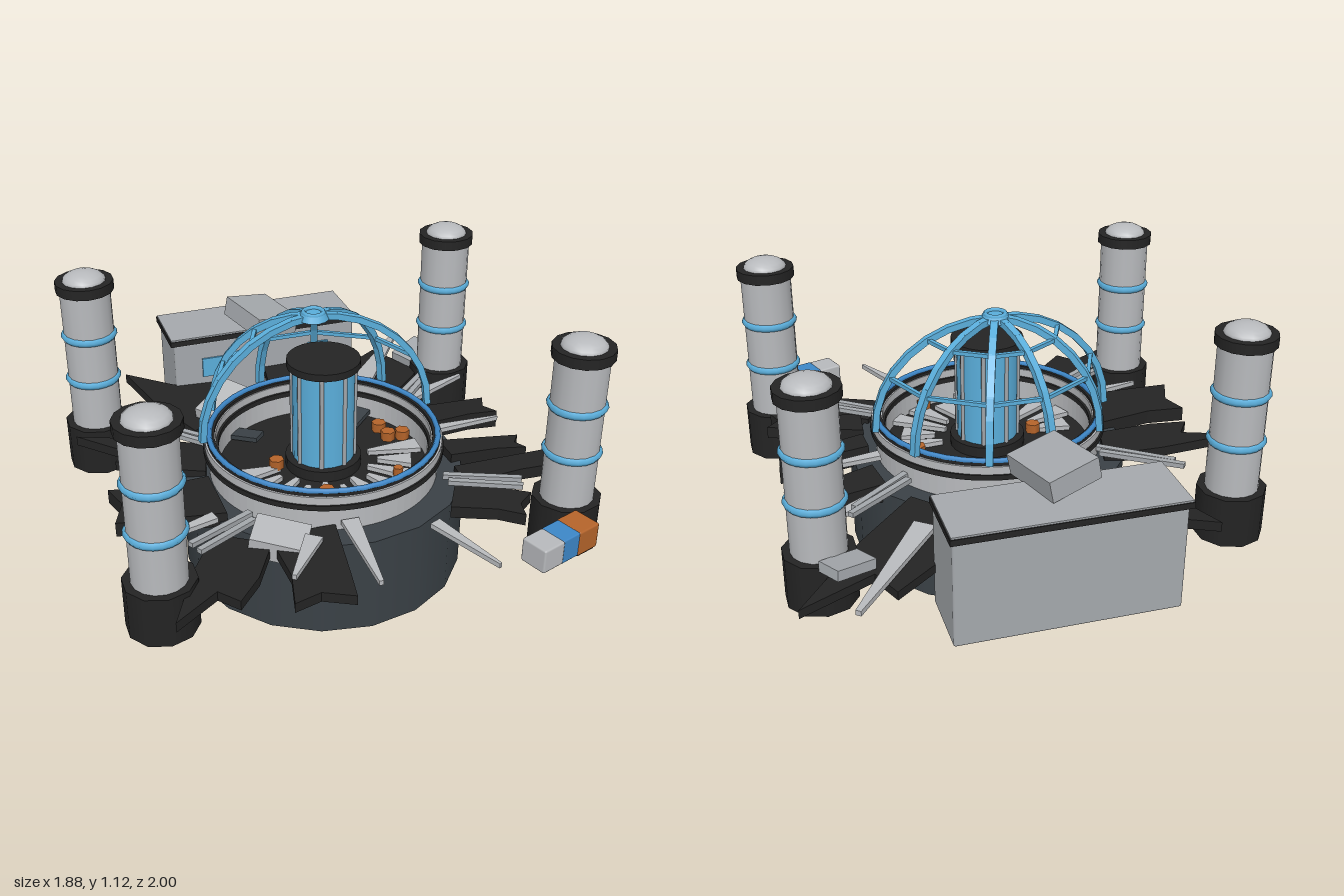
import * as THREE from 'three';
import { RoundedBoxGeometry } from 'three/addons/geometries/RoundedBoxGeometry.js';

const mat = (name, color) => Object.assign(new THREE.MeshStandardMaterial({ color }), { name });

export function createModel() {
  const slate = mat('slate', 0x3a4146), dark = mat('charcoal', 0x242424), grey = mat('concrete', 0xa5a9ad);
  const light = mat('lightGrey', 0xb8babd), blue = mat('skyBlue', 0x5aaedb), deep = mat('deepBlue', 0x3d87c8);
  const orange = mat('rust', 0xb5642a);
  const root = new THREE.Group();
  root.name = 'ruinedReactor';
  const CZ = 0.08; // z of the round building's axis

  const add = (name, geo, m, x = 0, y = 0, z = 0, parent = root) => {
    const mesh = new THREE.Mesh(geo, m);
    mesh.name = name;
    mesh.position.set(x, y, z);
    parent.add(mesh);
    return mesh;
  };
  const cyl = (r, y0, y1, n = 24, top = r) => new THREE.CylinderGeometry(top, r, y1 - y0, n).translate(0, (y0 + y1) / 2, 0);
  const hoop = (r, tube, y, n = 40) => new THREE.TorusGeometry(r, tube, 6, n).rotateX(Math.PI / 2).translate(0, y, 0);
  // Rectangular ring
  const band = (ri, ro, y0, y1) => {
    const s = new THREE.Shape().absarc(0, 0, ro, 0, Math.PI * 2);
    s.holes.push(new THREE.Path().absarc(0, 0, ri, 0, Math.PI * 2, true));
    return new THREE.ExtrudeGeometry(s, { depth: y1 - y0, bevelEnabled: false, curveSegments: 40 })
      .rotateX(-Math.PI / 2).translate(0, y0, 0);
  };
  // Flat slab: (u, v) outline laid from a to b and scaled to a width, sloping away from the axis
  const slab = (name, outline, a, b, width, y, thick, m, slope = 0) => {
    const dx = b[0] - a[0], dz = b[1] - a[1], k = width / Math.hypot(dx, dz);
    const shape = new THREE.Shape(outline.map(([u, v]) => new THREE.Vector2(
      a[0] + dx * u - dz * k * v, -(a[1] + dz * u + dx * k * v))));
    const g = new THREE.ExtrudeGeometry(shape, { depth: thick, bevelEnabled: false }).rotateX(-Math.PI / 2);
    const p = g.attributes.position;
    for (let i = 0; i < p.count; i++) {
      p.setY(i, p.getY(i) + slope * (Math.hypot(p.getX(i), p.getZ(i) - CZ) - 0.6));
    }
    g.computeVertexNormals();
    return add(name, g, m, 0, y, 0);
  };
  const spiked = [[0, -0.5], [0.45, -0.5], [1, -0.35], [0.62, 0], [0.68, 0.4], [0.4, 0.5], [0, 0.45]];
  const blunt = [[0, -0.5], [0.7, -0.4], [1, -0.35], [0.88, 0.1], [0.96, 0.5], [0.6, 0.4], [0, 0.5]];
  const taper = [[0, -0.5], [1, -0.12], [1, 0.12], [0, 0.5]];
  const plank = [[0, -0.5], [1, -0.45], [1, 0.45], [0, 0.5]];
  const chunk = (name, size, pos, rot, m) => add(name, new THREE.BoxGeometry(...size), m, ...pos).rotation.set(...rot);

  // Round building: foundation, wall and rims
  const hall = new THREE.Group();
  hall.name = 'reactorHall';
  hall.position.z = CZ;
  root.add(hall);
  add('foundation', cyl(0.575, 0, 0.4, 18), slate, 0, 0, 0, hall);
  add('floor', cyl(0.44, 0.4, 0.415, 32), dark, 0, 0, 0, hall);
  add('wall', band(0.425, 0.465, 0.4, 0.5), light, 0, 0, 0, hall);
  add('darkRim', band(0.425, 0.487, 0.5, 0.522), dark, 0, 0, 0, hall);
  add('upperWall', band(0.435, 0.48, 0.522, 0.555), light, 0, 0, 0, hall);
  add('topRim', band(0.44, 0.472, 0.555, 0.568), dark, 0, 0, 0, hall);
  add('blueRim', hoop(0.462, 0.012, 0.571), deep, 0, 0, 0, hall);

  // Central core with vertical strips
  add('coreFoot', cyl(0.155, 0.41, 0.46), dark, 0, 0, 0, hall);
  add('core', cyl(0.125, 0.46, 0.862), blue, 0, 0, 0, hall);
  add('coreCap', cyl(0.147, 0.862, 0.892), dark, 0, 0, 0, hall);
  for (let i = 0; i < 8; i++) {
    const a = (i + 0.5) * Math.PI / 4;
    add('coreStrip', cyl(0.009, 0.46, 0.862, 6), grey, Math.sin(a) * 0.126, 0, Math.cos(a) * 0.126, hall);
  }

  // Surviving rear half of the dome frame
  const dome = new THREE.Group();
  dome.name = 'domeFrame';
  root.add(dome);
  const apexZ = -0.04;
  const feet = [[-0.485, 0.01], [-0.38, -0.235], [-0.125, -0.39], [0.125, -0.39], [0.38, -0.235], [0.485, 0.01]];
  const ribPoint = ([x, z], t) => new THREE.Vector3(
    x * Math.cos(t), 0.57 + 0.45 * Math.sin(t), apexZ + (z - apexZ) * Math.cos(t));
  const bar = (name, a, b, w, h) => {
    const m = add(name, new THREE.BoxGeometry(w, h, a.distanceTo(b) + 0.006), blue, 0, 0, 0, dome);
    m.position.copy(a).add(b).multiplyScalar(0.5);
    m.lookAt(b);
  };
  for (const f of feet) {
    for (let i = 0; i < 8; i++) bar('rib', ribPoint(f, i * Math.PI / 16), ribPoint(f, (i + 1) * Math.PI / 16), 0.03, 0.026);
  }
  for (const y of [0.795, 0.945]) {
    const t = Math.asin((y - 0.57) / 0.45);
    for (let i = 0; i < 5; i++) bar('crossbar', ribPoint(feet[i], t), ribPoint(feet[i + 1], t), 0.016, 0.016);
  }
  add('domeHub', cyl(0.062, 1.01, 1.035, 12, 0.05), blue, 0, 0, apexZ, dome);
  add('hubRing', hoop(0.04, 0.01, 1.035, 12), blue, 0, 0, apexZ, dome);

  // Four corner towers
  for (const x of [-0.81, 0.81]) for (const z of [-0.565, 0.64]) {
    const t = new THREE.Group();
    t.name = 'cornerTower';
    t.position.set(x, 0, z);
    root.add(t);
    add('towerBase', cyl(0.137, 0.225, 0.43, 10), dark, 0, 0, 0, t);
    add('towerShaft', cyl(0.105, 0.43, 1.05, 16), light, 0, 0, 0, t);
    for (const y of [0.637, 0.835]) add('towerBand', hoop(0.1, 0.017, y, 20), blue, 0, 0, 0, t);
    add('towerCollar', cyl(0.12, 1.033, 1.075, 14), dark, 0, 0, 0, t);
    add('towerDome', new THREE.SphereGeometry(0.09, 14, 5, 0, Math.PI * 2, 0, Math.PI / 2).scale(1, 0.5, 1), light, 0, 1.072, 0, t);
  }

  // Rear annex with roof trim and windows
  add('annex', new RoundedBoxGeometry(0.85, 0.42, 0.28, 1, 0.008), grey, 0, 0.43, -0.85);
  add('annexTrim', new THREE.BoxGeometry(0.874, 0.024, 0.295), dark, -0.003, 0.65, -0.852);
  add('annexRoof', new THREE.BoxGeometry(0.866, 0.008, 0.287), grey, -0.003, 0.665, -0.852);
  for (const x of [-0.25, 0.25]) add('annexWindow', new THREE.BoxGeometry(0.1, 0.09, 0.009), blue, x, 0.515, -0.706);

  // Fallen concrete blocks
  chunk('roofBlock', [0.21, 0.085, 0.27], [-0.015, 0.725, -0.725], [0.05, 0.28, -0.2], grey);
  chunk('rearBlock', [0.23, 0.07, 0.16], [-0.265, 0.45, -0.45], [0.1, 0.66, 0.15], light);
  chunk('frontBlock', [0.21, 0.085, 0.15], [-0.335, 0.41, 0.54], [0.12, -0.5, -0.1], light);
  chunk('farBlock', [0.17, 0.04, 0.11], [0.73, 0.43, -0.7], [0.1, 0.5, 0.1], grey);

  // Torn dark slabs: outline, root, tip, width, height, thickness, slope
  const torn = (outline, a, b, width, y, thick, slope) => slab('tornSlab', outline, a, b, width, y, thick, dark, slope);
  torn(spiked, [-0.28, -0.42], [-0.52, -0.91], 0.34, 0.37, 0.04, 0.1);
  torn(spiked, [0.3, -0.4], [0.85, -0.93], -0.32, 0.38, 0.035, -0.05);
  torn(spiked, [-0.45, -0.09], [-0.96, -0.23], -0.22, 0.4, 0.04, 0.15);
  torn(spiked, [-0.46, 0.5], [-0.74, 0.92], -0.24, 0.38, 0.04, -0.03);
  torn(blunt, [-0.48, 0.2], [-0.9, 0.2], 0.28, 0.38, 0.06, 0.05);
  torn(blunt, [-0.24, 0.52], [-0.27, 0.94], 0.26, 0.38, 0.04, -0.03);
  torn(blunt, [0.5, 0.18], [0.87, 0.165], 0.12, 0.35, 0.08, -0.12);
  torn(blunt, [0.48, 0.37], [0.88, 0.41], 0.14, 0.38, 0.05, 0.1);
  torn(blunt, [0.4, 0.48], [0.66, 0.63], 0.19, 0.37, 0.05, 0);
  torn(blunt, [0.5, -0.11], [0.88, -0.17], 0.16, 0.35, 0.08, -0.1);
  torn(blunt, [0.04, -0.37], [0.06, -0.76], 0.18, 0.39, 0.04, 0.2);

  // Pale splinters thrown outward: root, tip, width
  const splinters = [
    [[0.41, -0.52], [0.74, -0.95], 0.09], [[0.55, -0.28], [0.85, -0.42], 0.06],
    [[0.47, 0.03], [0.83, 0.0], 0.05], [[-0.53, 0.35], [-0.8, 0.42], 0.05],
    [[-0.06, 0.55], [-0.08, 0.92], 0.07], [[0.24, 0.66], [0.365, 0.96], 0.05],
    [[-0.22, 0.6], [-0.36, 0.79], 0.07],
  ];
  for (const [a, b, w] of splinters) slab('paleSplinter', taper, a, b, w, 0.425, 0.02, light, -0.05);

  // Bent twin beams at the four diagonals
  for (const s of [-1, 1]) for (const [z0, z1] of [[-0.2, -0.43], [0.38, 0.53]]) for (const k of [0, 0.05]) {
    slab('brokenBeam', plank, [s * 0.4, z0 + k], [s * (0.67 - k * 0.4), z1 + k], 0.027, 0.44, 0.02, grey, 0.06);
  }

  // Debris on the hall floor: pale shards fanned about the core
  for (let i = 0; i < 11; i++) {
    const a = -1.5 + i * 0.3, r0 = 0.36 + 0.05 * (i % 3), r1 = 0.19 + 0.03 * (i % 2);
    const at = r => [Math.sin(a) * r, CZ + Math.cos(a) * r];
    slab('floorShard', taper, at(r0), at(r1), 0.085, 0.42, 0.02, light);
  }
  for (const [x, z] of [[-0.25, -0.2], [0.24, -0.18]]) chunk('floorPanel', [0.14, 0.02, 0.07], [x, 0.435, z], [0, x * 3, 0.1], slate);
  const lumps = [[-0.11, -0.52], [0.3, -0.06], [0.31, 0.02], [0.37, 0.03], [-0.2, 0.08], [-0.08, 0.35], [0.195, 0.41], [0.24, 0.3]];
  lumps.forEach(([x, z], i) => add('rustLump', cyl(i === 7 ? 0.02 : 0.031, 0, 0.04, 6), orange, x, 0.43, z));

  // Small three-part truck
  const truck = new THREE.Group();
  truck.name = 'truck';
  truck.position.set(0.638, 0.417, 0.9);
  truck.rotation.y = 0.33;
  root.add(truck);
  add('truckNose', new RoundedBoxGeometry(0.105, 0.1, 0.115, 1, 0.008), light, -0.092, 0, 0, truck);
  add('truckMiddle', new RoundedBoxGeometry(0.09, 0.103, 0.112, 1, 0.006), deep, 0, 0, 0, truck);
  add('truckTail', new RoundedBoxGeometry(0.108, 0.106, 0.118, 1, 0.008), orange, 0.092, 0, 0, truck);
  return root;
}
